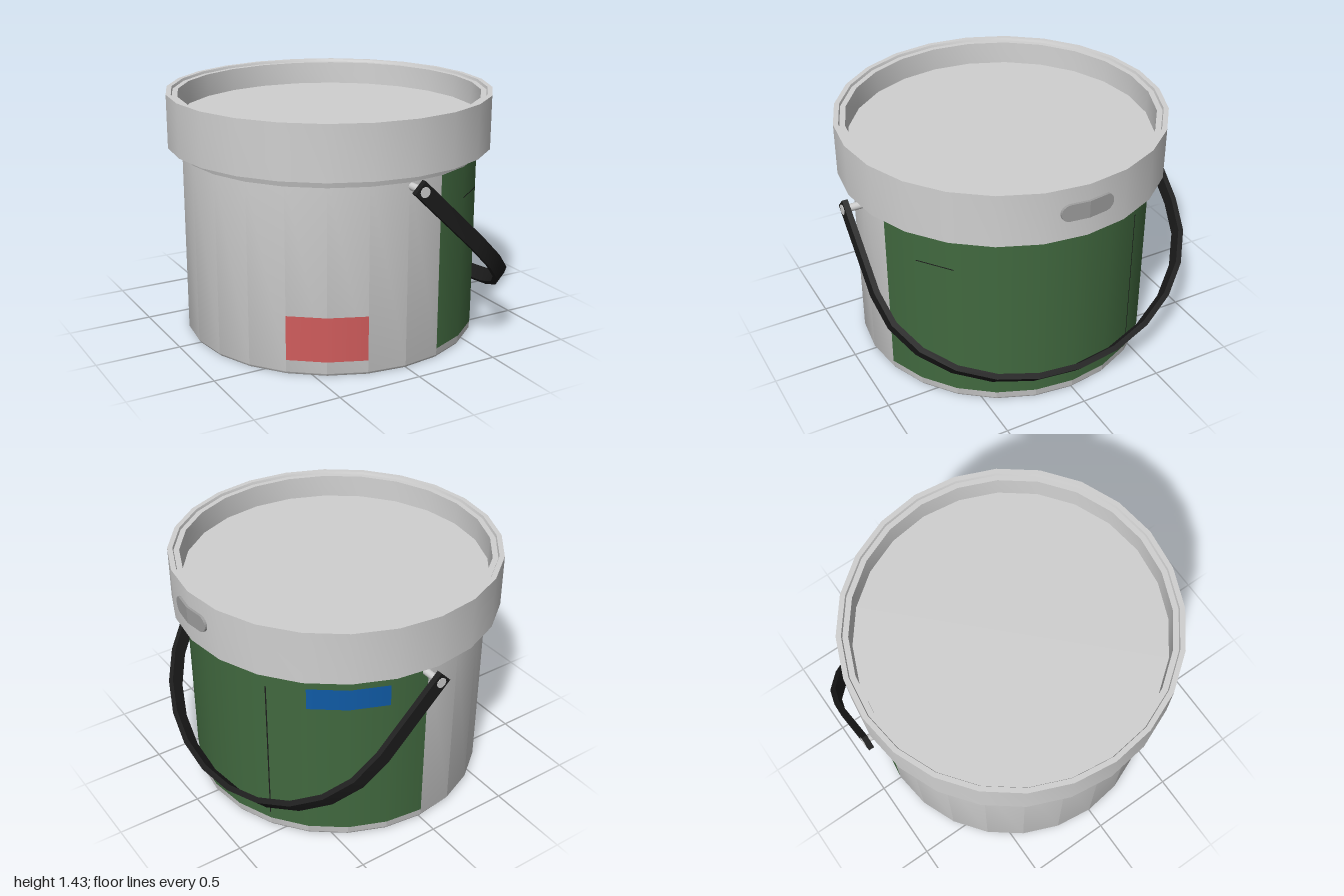
import * as THREE from 'three';
import { toCreasedNormals } from 'three/addons/utils/BufferGeometryUtils.js';

const mat = (name, color, side = THREE.FrontSide) => {
  const m = new THREE.MeshStandardMaterial({ color, side });
  m.name = name;
  return m;
};

export function createModel() {
  const grey = mat('light grey plastic', 0xd0d0d0);
  const neckGrey = mat('neck grey', 0xb4b4b4);
  const tabGrey = mat('tab grey', 0x9e9e9e);
  const green = mat('label green', 0x41693f);
  const red = mat('sticker red', 0xd05c5c);
  const blue = mat('sticker blue', 0x105ba6);
  const black = mat('handle black', 0x1c1c1c);

  const model = new THREE.Group();
  model.name = 'bucket';
  const SIDES = 24, R = 0.87, CX = -0.005;
  const rad = THREE.MathUtils.degToRad;

  const add = (name, geometry, material, x = 0, y = 0, z = 0) => {
    const mesh = new THREE.Mesh(geometry, material);
    mesh.name = name;
    mesh.position.set(x, y, z);
    model.add(mesh);
    return mesh;
  };

  // Solid of revolution with sharp rims
  const turned = (name, profile, material) => {
    const pts = profile.map(([r, y]) => new THREE.Vector2(r, y));
    add(name, toCreasedNormals(new THREE.LatheGeometry(pts, SIDES), rad(35)), material, CX);
  };

  // Thin curved plate on the wall; angles in degrees from the front towards +x
  const plate = (name, from, to, y0, y1, lift, material) => {
    const pts = [new THREE.Vector2(R + lift, y0), new THREE.Vector2(R + lift, y1)];
    const n = Math.max(1, Math.round((to - from) / 15));
    add(name, new THREE.LatheGeometry(pts, n, rad(from), rad(to - from)), material, CX);
  };

  // Tub and lid
  turned('tub', [[0, 0], [0.86, 0], [R, 0.015], [R, 1.13]], grey);
  turned('lid', [[0.84, 1.125], [0.951, 1.125], [0.951, 1.435], [0.922, 1.435],
    [0.917, 1.42], [0.885, 1.42], [0.88, 1.285], [0, 1.285]], grey);
  plate('neckBand', 0, 360, 1.075, 1.125, 0.001, neckGrey);

  // Label, stickers and printed lines
  plate('label', 15, 180, 0.055, 1.075, 0.002, green);
  plate('redSticker', -45, -15, 0.085, 0.345, 0.002, red);
  plate('blueSticker', 135, 165, 0.9, 1.03, 0.005, blue);
  plate('labelDash', 30, 45, 0.892, 0.898, 0.005, black);
  plate('labelSeam', 119.75, 120.25, 0.1, 1.0, 0.005, black);

  // Lid tab: two halves of a pill following the faceted rim
  const half = new THREE.Shape();
  half.moveTo(0, -0.05);
  half.lineTo(0.108, -0.05);
  half.absarc(0.108, 0, 0.05, -Math.PI / 2, Math.PI / 2, false);
  half.lineTo(0, 0.05);
  half.closePath();
  for (const s of [1, -1]) {
    const pts = half.getPoints(6).map(p => new THREE.Vector2(p.x * s, p.y));
    const g = new THREE.ExtrudeGeometry(new THREE.Shape(pts), { depth: 0.03, bevelEnabled: false });
    g.rotateY(Math.PI / 2);
    const p = g.attributes.position;
    for (let i = 0; i < p.count; i++) p.setX(i, p.getX(i) - Math.abs(p.getZ(i)) * Math.tan(rad(7.5)));
    g.computeVertexNormals();
    add(s > 0 ? 'lidTabBack' : 'lidTabFront', g, tabGrey, 0.93, 1.29, 0);
  }

  // Handle: straight arms joined by a half ellipse, hanging at a slant
  const edge = (t) => {
    const pts = [[-0.04, 0.98 + t]];
    for (let a = 0; a <= 180; a += 15) {
      pts.push([0.5 + (0.745 + t) * Math.sin(rad(a)), (0.98 + t) * Math.cos(rad(a))]);
    }
    pts.push([-0.04, -0.98 - t]);
    return pts.map(([u, v]) => new THREE.Vector2(u, v));
  };
  const T = 0.0165, W = 0.09;
  const band = new THREE.Shape([...edge(T), ...edge(-T).reverse()]);
  const bandGeo = new THREE.ExtrudeGeometry(band, { depth: W, bevelEnabled: false });
  bandGeo.translate(0, 0, -W / 2);
  const slant = rad(43.9), c = Math.cos(slant), s = Math.sin(slant);
  bandGeo.applyMatrix4(new THREE.Matrix4().makeBasis(
    new THREE.Vector3(c, -s, 0), new THREE.Vector3(0, 0, 1), new THREE.Vector3(-s, -c, 0)));
  add('handle', toCreasedNormals(bandGeo, rad(35)), black, 0.01, 1.05, 0);

  // Pivot pins with caps
  for (const side of [1, -1]) {
    const end = side > 0 ? 'front' : 'back';
    const pin = new THREE.CylinderGeometry(0.022, 0.022, 0.14, 12).rotateX(Math.PI / 2);
    const cap = new THREE.CylinderGeometry(0.03, 0.03, 0.008, 12).rotateX(Math.PI / 2);
    add(end + 'Pin', pin, grey, 0.01, 1.05, side * 0.92);
    add(end + 'PinCap', cap, grey, 0.01, 1.05, side * 0.996);
  }
  return model;
}
